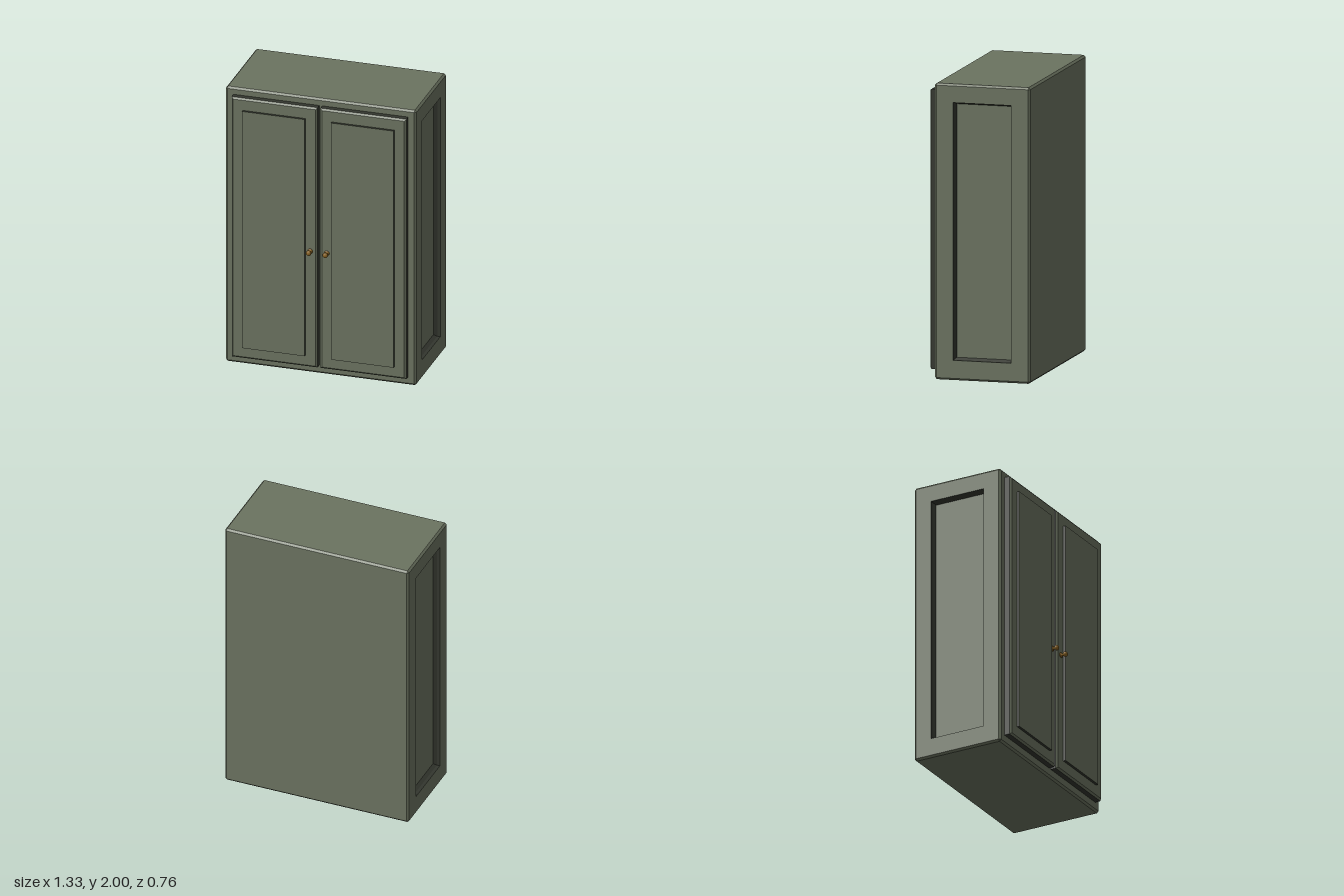
import * as THREE from 'three';

const olive = new THREE.MeshStandardMaterial({ name: 'olive paint', color: 0x6b7360 });
const shade = new THREE.MeshStandardMaterial({ name: 'dark olive edge', color: 0x33362e });
const brass = new THREE.MeshStandardMaterial({ name: 'aged brass', color: 0x8a6424 });

// Rectangle ring with optional cut corners; edge picks the material of the band that follows it
const ring = (w, [u0, u1, v0, v1], inset = 0, cut = 0, edge = 0) => {
  const a = u0 + inset, b = u1 - inset, c = v0 + inset, d = v1 - inset;
  return { w, edge, pts: [
    [a + cut, c], [b - cut, c], [b, c + cut], [b, d - cut],
    [b - cut, d], [a + cut, d], [a, d - cut], [a, c + cut]] };
};

// Flat-shaded solid lofted through rings along x (u = y, v = z) or z (u = x, v = y)
function loft(rings, axis) {
  const faces = [[], []];
  const at = (r, i) => {
    const [u, v] = r.pts[i % 8];
    return axis === 'x' ? new THREE.Vector3(r.w, u, v) : new THREE.Vector3(u, v, r.w);
  };
  const tri = (list, a, b, c) => {
    const area = b.clone().sub(a).cross(c.clone().sub(a)).length();
    if (area > 1e-9) list.push(a, b, c);
  };
  for (let k = 0; k < rings.length - 1; k++) {
    const r = rings[k], s = rings[k + 1], list = faces[r.edge];
    for (let i = 0; i < 8; i++) {
      tri(list, at(r, i), at(r, i + 1), at(s, i + 1));
      tri(list, at(r, i), at(s, i + 1), at(s, i));
    }
  }
  const first = rings[0], last = rings[rings.length - 1];
  for (let i = 1; i < 7; i++) {
    tri(faces[0], at(first, 0), at(first, i + 1), at(first, i));
    tri(faces[0], at(last, 0), at(last, i), at(last, i + 1));
  }
  const geo = new THREE.BufferGeometry().setFromPoints([...faces[0], ...faces[1]]);
  geo.addGroup(0, faces[0].length, 0);
  geo.addGroup(faces[0].length, faces[1].length, 1);
  geo.computeVertexNormals();
  return geo;
}

function part(name, geo, material) {
  const mesh = new THREE.Mesh(geo, material);
  mesh.name = name;
  return mesh;
}

export function createModel() {
  const group = new THREE.Group();
  group.name = 'cabinet';
  const paint = [olive, shade];

  // Carcass with chamfered edges and a recessed panel in each side
  const outer = [0, 2, -0.38, 0.28], recess = [0.135, 1.875, -0.25, 0.153];
  const X = 0.665, C = 0.013;
  group.add(part('carcass', loft([
    ring(-X + 0.045, recess, 0.014, 0, 1),
    ring(-X + 0.022, recess, 0, 0, 1),
    ring(-X, recess),
    ring(-X, outer, C),
    ring(-X + C, outer, 0, C),
    ring(X - C, outer, 0, C),
    ring(X, outer, C),
    ring(X, recess, 0, 0, 1),
    ring(X - 0.022, recess, 0, 0, 1),
    ring(X - 0.045, recess, 0.014),
  ], 'x'), paint));

  // Knob profile: base plate, stem and rounded head
  const profile = [[0, 0], [0.018, 0], [0.018, 0.006], [0.009, 0.008], [0.009, 0.023],
    [0.016, 0.028], [0.0185, 0.036], [0.016, 0.044], [0.01, 0.049], [0, 0.05]];
  const knobGeo = new THREE.LatheGeometry(profile.map(([r, h]) => new THREE.Vector2(r, h)), 20);
  knobGeo.rotateX(Math.PI / 2);

  // Pair of doors, each with a raised panel and a knob
  for (const [side, s] of [['left', 1], ['right', -1]]) {
    const span = (a, b, y0, y1) => [Math.min(s * a, s * b), Math.max(s * a, s * b), y0, y1];
    const door = new THREE.Group();
    door.name = side + 'Door';
    const slab = span(0.011, 0.61, 0.06, 1.95);
    door.add(part('doorSlab', loft([
      ring(0.279, slab, 0, 0, 1), ring(0.318, slab), ring(0.33, slab, 0.012),
    ], 'z'), paint));
    const panel = span(0.092, 0.53, 0.143, 1.865);
    door.add(part('raisedPanel', loft([
      ring(0.329, panel, 0, 0, 1), ring(0.348, panel),
    ], 'z'), paint));
    const knob = part('knob', knobGeo, brass);
    knob.position.set(s * 0.058, 0.905, 0.33);
    door.add(knob);
    group.add(door);
  }
  return group;
}
